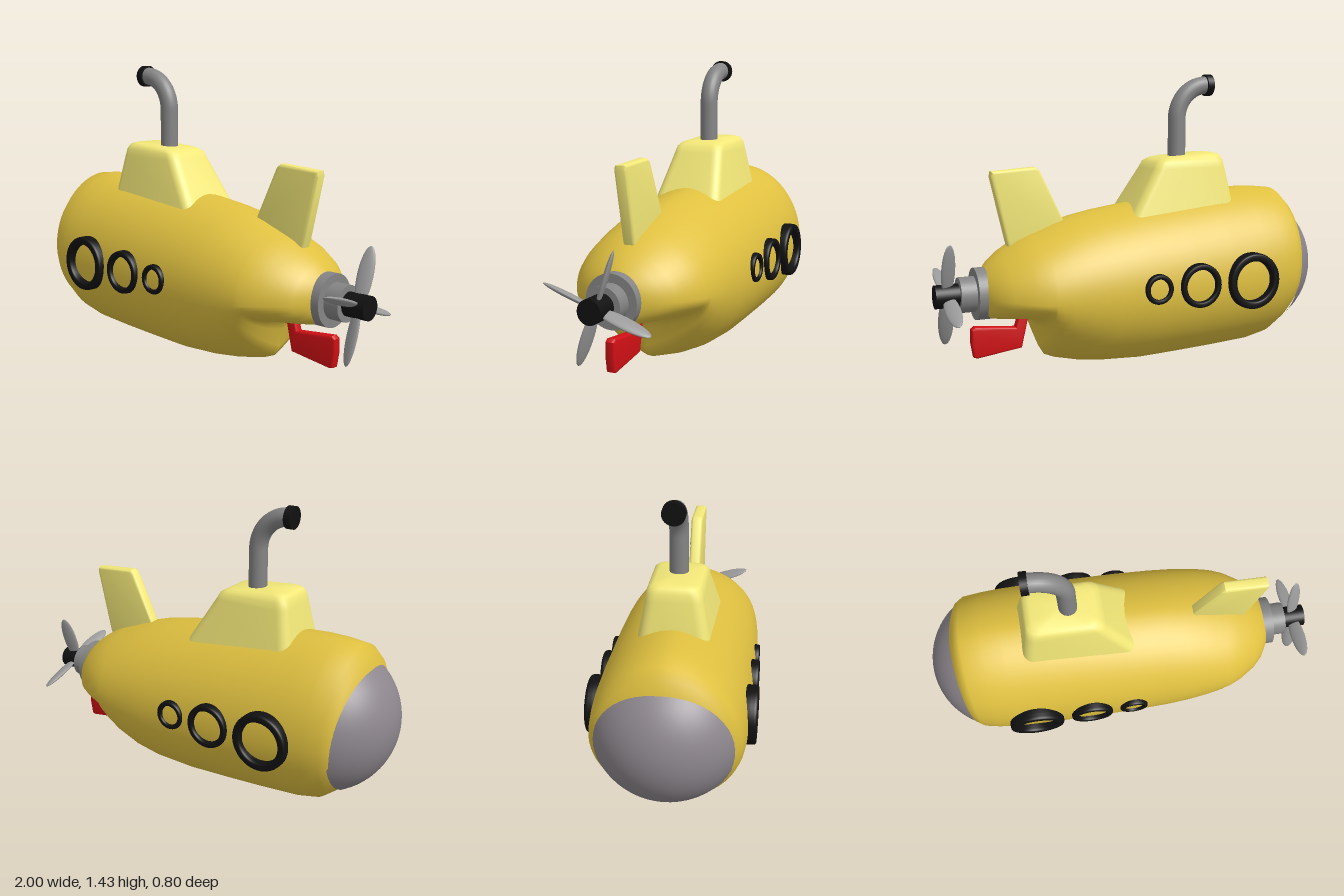
import * as THREE from 'three';
import { toCreasedNormals } from 'three/addons/utils/BufferGeometryUtils.js';

const mat = (color) => new THREE.MeshStandardMaterial({ color });
const YELLOW = mat(0xdfc040), PALE = mat(0xf3e878), GREY = mat(0x858585);
const NOSE = mat(0x8d878d), BLADE = mat(0x999999), BLACK = mat(0x111111), RED = mat(0xd01014);

function add(parent, name, geometry, material, x = 0, y = 0, z = 0) {
  const mesh = new THREE.Mesh(geometry, material);
  mesh.name = name;
  mesh.position.set(x, y, z);
  parent.add(mesh);
  return mesh;
}

// Skin over equal-length rings, each counter-clockwise about the loft direction
function loft(rings, capEnd = false) {
  const n = rings[0].length, pos = rings.flat(2), index = [];
  for (let i = 0; i < rings.length - 1; i++) {
    for (let j = 0; j < n; j++) {
      const a = i * n + j, b = i * n + (j + 1) % n;
      index.push(a, b, a + n, b, b + n, a + n);
    }
  }
  if (capEnd) {
    const last = rings[rings.length - 1], base = (rings.length - 1) * n;
    for (let k = 0; k < 3; k++) pos.push(last.reduce((s, p) => s + p[k], 0) / n);
    for (let j = 0; j < n; j++) index.push(rings.length * n, base + j, base + (j + 1) % n);
  }
  const g = new THREE.BufferGeometry();
  g.setAttribute('position', new THREE.Float32BufferAttribute(pos, 3));
  g.setIndex(index);
  g.computeVertexNormals();
  return g;
}

// Egg-shaped hull section; pinch above 1 hollows the lower flanks into a keel
function hullRing([x, bottom, top, width, mid, pinch = 1]) {
  const ring = [];
  for (let j = 0; j < 64; j++) {
    const a = (j / 64) * Math.PI * 2, c = Math.cos(a), s = Math.sin(a);
    const y = mid + c * (c > 0 ? top - mid : mid - bottom);
    const z = width * Math.sign(s) * Math.abs(s) ** (c > 0 ? 1.12 : pinch);
    ring.push([x < -0.7 ? x - 0.07 * (y - 0.45) : x, y, z]);
  }
  return ring;
}

// Rounded rectangle in plan, its height sloping gently down toward the stern
function towerRing([y, x0, x1, halfZ, r, slope]) {
  const ring = [];
  for (let q = 0; q < 4; q++) {
    for (let k = 0; k <= 5; k++) {
      const a = (q + k / 5) * Math.PI / 2;
      const cx = q < 2 ? x1 - r : x0 + r, cz = q === 0 || q === 3 ? halfZ - r : r - halfZ;
      const x = cx + r * Math.sin(a);
      ring.push([x, y - slope * (x + 0.45), cz + r * Math.cos(a)]);
    }
  }
  return ring;
}

// Thin bevelled plate in the xy plane
function plate(points, thickness, bevel) {
  const g = new THREE.ExtrudeGeometry(new THREE.Shape(points.map((p) => new THREE.Vector2(...p))), {
    depth: thickness - 2 * bevel, bevelThickness: bevel, bevelSize: bevel, bevelOffset: -bevel, bevelSegments: 3,
  });
  g.translate(0, 0, bevel - thickness / 2);
  return toCreasedNormals(g, 0.6);
}

const cylinderX = (r, x0, x1) =>
  new THREE.CylinderGeometry(r, r, x1 - x0, 40).rotateZ(-Math.PI / 2).translate((x0 + x1) / 2, 0, 0);

// Flat ring with rounded edges, axis along z
function portholeRing(inner, outer, halfDepth) {
  const soft = (v) => Math.sign(v) * Math.sqrt(Math.abs(v)), profile = [];
  for (let i = 0; i <= 24; i++) {
    const a = (i / 24) * Math.PI * 2;
    const c = Math.abs(Math.cos(a)) < 1e-9 ? 0 : Math.cos(a), s = Math.abs(Math.sin(a)) < 1e-9 ? 0 : Math.sin(a);
    profile.push(new THREE.Vector2((inner + outer) / 2 + soft(c) * (outer - inner) / 2, soft(s) * halfDepth));
  }
  return new THREE.LatheGeometry(profile, 48).rotateX(Math.PI / 2);
}

export function createModel() {
  const model = new THREE.Group();
  model.name = 'submarine';

  // Hull stations: x, bottom, top, half width, height of widest point, pinch
  const stations = [
    [-0.85, 0.17, 0.73, 0.27, 0.45], [-0.82, 0.14, 0.8, 0.32, 0.44], [-0.78, 0.1, 0.838, 0.345, 0.43],
    [-0.7, 0.055, 0.85, 0.357, 0.42], [-0.6, 0.033, 0.852, 0.365, 0.41], [-0.4, 0.02, 0.84, 0.37, 0.4],
    [-0.2, 0.01, 0.82, 0.37, 0.39], [0, 0.002, 0.8, 0.37, 0.385], [0.2, 0.012, 0.77, 0.365, 0.38],
    [0.32, 0.022, 0.745, 0.358, 0.38, 1.15], [0.42, 0.04, 0.715, 0.348, 0.38, 1.5],
    [0.47, 0.06, 0.695, 0.34, 0.38, 1.9], [0.5, 0.11, 0.685, 0.335, 0.38, 2.1],
    [0.51, 0.2, 0.68, 0.332, 0.38, 1.7], [0.54, 0.262, 0.67, 0.325, 0.38], [0.6, 0.27, 0.645, 0.3, 0.385],
    [0.68, 0.272, 0.595, 0.25, 0.39], [0.73, 0.275, 0.555, 0.2, 0.39],
    [0.765, 0.28, 0.515, 0.14, 0.395], [0.775, 0.285, 0.5, 0.115, 0.395],
  ];
  add(model, 'hull', loft(stations.map(hullRing)), YELLOW);

  // Nose dome set into the open front of the hull
  const dome = new THREE.SphereGeometry(0.37, 48, 24, 0, Math.PI * 2, 0, 1.08).rotateZ(Math.PI / 2);
  add(model, 'noseDome', dome, NOSE, -0.63, 0.45, 0);

  // Conning tower
  const tower = [
    [0.7, -0.525, 0.08, 0.182, 0.05, 0], [0.97, -0.48, -0.085, 0.134, 0.05, 0.01],
    [1.005, -0.472, -0.1, 0.128, 0.05, 0.03], [1.03, -0.46, -0.125, 0.115, 0.05, 0.06],
    [1.04, -0.435, -0.155, 0.095, 0.05, 0.07],
  ].map(towerRing);
  add(model, 'conningTower', toCreasedNormals(loft(tower, true), 0.9), PALE);

  // Periscope: straight riser, elbow and black end cap
  const v = (x, y) => new THREE.Vector3(x, y, 0);
  const path = new THREE.CurvePath();
  path.add(new THREE.LineCurve3(v(-0.255, 0.98), v(-0.255, 1.21)));
  path.add(new THREE.CubicBezierCurve3(v(-0.255, 1.21), v(-0.255, 1.305), v(-0.33, 1.38), v(-0.42, 1.38)));
  add(model, 'periscopeTube', new THREE.TubeGeometry(path, 40, 0.045, 24), GREY);
  add(model, 'periscopeCap', cylinderX(0.054, -0.445, -0.41), BLACK, 0, 1.38, 0);

  // Portholes, shrinking toward the stern on both sides
  const portholes = [[-0.5, 0.1, 0.14, 0.4], [-0.21, 0.078, 0.108, 0.39], [0.01, 0.048, 0.073, 0.382]];
  for (const [x, inner, outer, reach] of portholes) {
    for (const side of [1, -1]) {
      add(model, side > 0 ? 'leftPorthole' : 'rightPorthole',
        portholeRing(inner, outer, 0.035), BLACK, x, 0.42, side * (reach - 0.035));
    }
  }

  // Tail fin and rudder
  add(model, 'tailFin', plate([[0.34, 0.67], [0.63, 0.56], [0.655, 0.64], [0.725, 0.95], [0.72, 0.975],
    [0.505, 0.99], [0.485, 0.975]], 0.06, 0.014), PALE);
  add(model, 'rudder', plate([[0.545, 0.285], [0.585, 0.11], [0.805, 0.08], [0.822, 0.085], [0.833, 0.15],
    [0.832, 0.222], [0.815, 0.235], [0.615, 0.215], [0.595, 0.285]], 0.046, 0.01), RED);

  // Stern collars, hub and four pitched blades
  const axisY = 0.395;
  add(model, 'sternCollar', cylinderX(0.125, 0.72, 0.812), GREY, 0, axisY, 0);
  add(model, 'propellerShaft', cylinderX(0.085, 0.8, 0.887), GREY, 0, axisY, 0);
  const propeller = new THREE.Group();
  propeller.name = 'propeller';
  propeller.position.set(0.94, axisY, 0);
  add(propeller, 'hub', cylinderX(0.056, -0.055, 0.06), BLACK);
  for (let i = 0; i < 4; i++) {
    const arm = new THREE.Group();
    arm.name = 'bladeArm';
    arm.rotation.x = -0.33 + i * Math.PI / 2;
    const blade = add(arm, 'blade', new THREE.SphereGeometry(1, 24, 16), BLADE, 0, 0.135, 0);
    blade.scale.set(0.037, 0.136, 0.013);
    blade.rotation.y = 0.35;
    propeller.add(arm);
  }
  model.add(propeller);

  return model;
}
